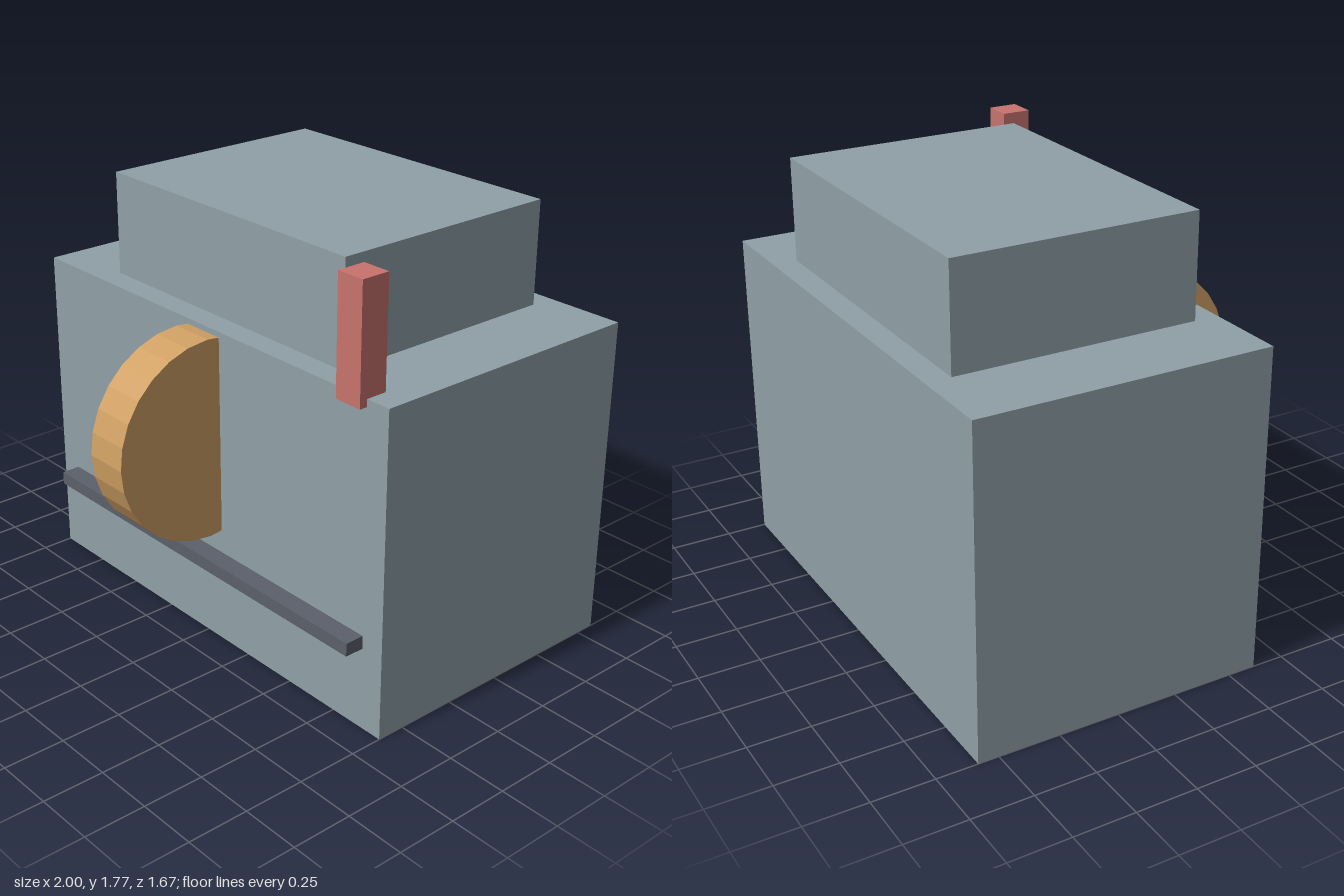
import * as THREE from 'three';

const mat = (name, color) => {
  const m = new THREE.MeshStandardMaterial({ color });
  m.name = name;
  return m;
};

export function createModel() {
  const grey = mat('blue grey', 0x90a0a7);
  const red = mat('muted red', 0xc8736d);
  const tan = mat('tan', 0xd0a064);
  const dark = mat('dark slate', 0x5b606b);
  tan.flatShading = true;

  const group = new THREE.Group();
  // Box given by its extents on each axis
  const box = (name, material, [x0, x1], [y0, y1], [z0, z1]) => {
    const mesh = new THREE.Mesh(new THREE.BoxGeometry(x1 - x0, y1 - y0, z1 - z0), material);
    mesh.position.set((x0 + x1) / 2, (y0 + y1) / 2, (z0 + z1) / 2);
    mesh.name = name;
    group.add(mesh);
  };

  // Main housing and the smaller block on top
  box('body', grey, [-1, 1], [0, 1.333], [-0.833, 0.367]);
  box('upperBlock', grey, [-0.667, 0.667], [1.333, 1.757], [-0.733, 0.267]);

  // Upright post at the front left corner
  box('post', red, [0.773, 0.893], [1.303, 1.77], [0.28, 0.4]);

  // Thin ledge across the front
  box('frontLedge', dark, [-0.9, 0.9], [0.343, 0.397], [0.355, 0.447]);

  // Wheel half sunk into the front, axle along x
  const wheelGeometry = new THREE.CylinderGeometry(0.413, 0.413, 0.187, 28);
  wheelGeometry.rotateZ(Math.PI / 2);
  const wheel = new THREE.Mesh(wheelGeometry, tan);
  wheel.position.set(0, 0.903, 0.42);
  wheel.name = 'wheel';
  group.add(wheel);

  return group;
}
